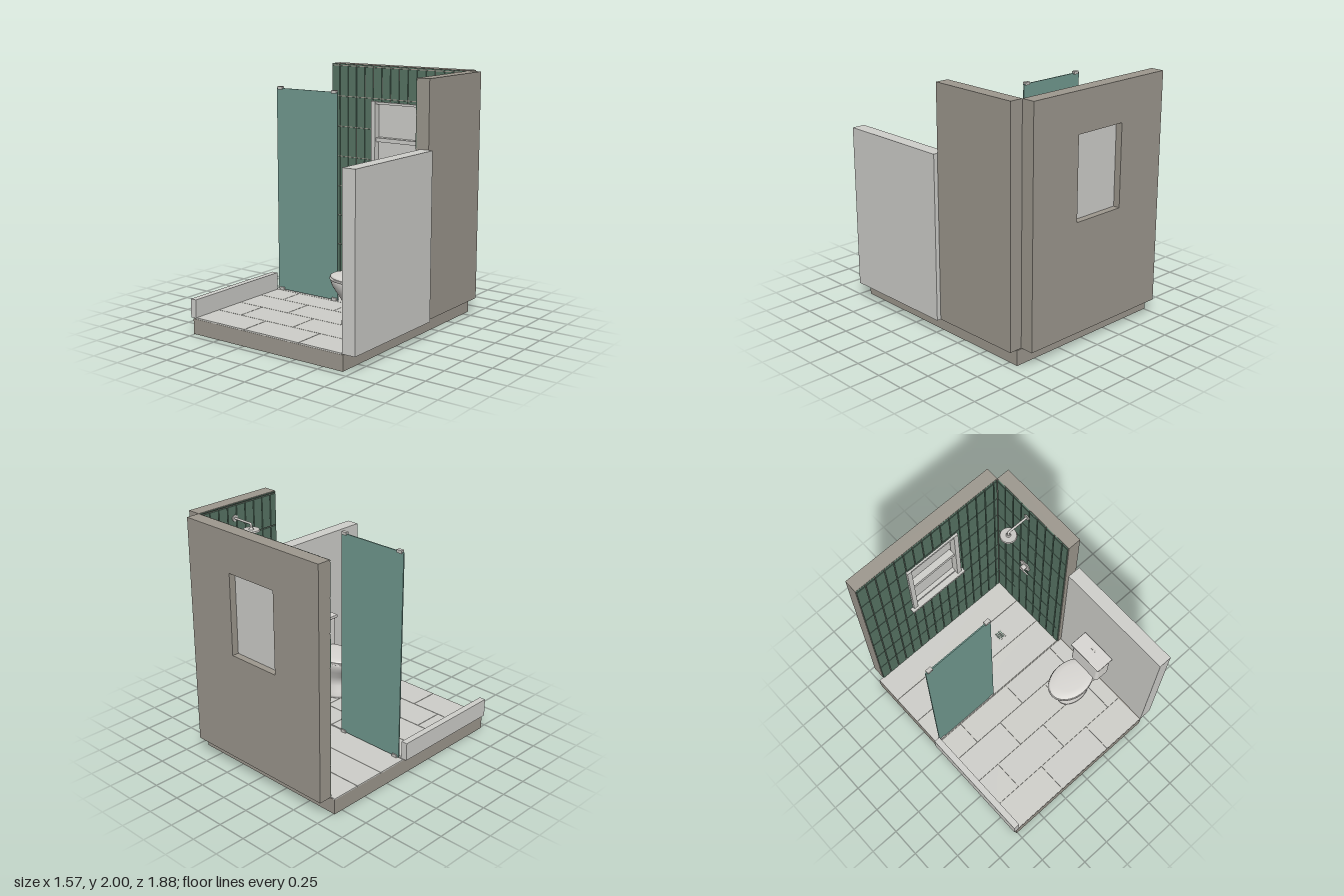
import * as THREE from 'three';
import { mergeGeometries } from 'three/addons/utils/BufferGeometryUtils.js';
import { RoundedBoxGeometry } from 'three/addons/geometries/RoundedBoxGeometry.js';

const mat = (name, color, side = THREE.FrontSide) => {
  const m = new THREE.MeshStandardMaterial({ color, side });
  m.name = name;
  return m;
};

// Box geometry from its min and max corners
function span(x0, x1, y0, y1, z0, z1) {
  return new THREE.BoxGeometry(x1 - x0, y1 - y0, z1 - z0)
    .translate((x0 + x1) / 2, (y0 + y1) / 2, (z0 + z1) / 2);
}

// Cut a running interval into pieces of a given length
function cuts(from, to, step, first = from + step) {
  const out = [];
  let a = from;
  for (let b = first; a < to - 1e-4; b += step) {
    out.push([a, Math.min(b, to)]);
    a = b;
  }
  return out;
}

// Remove a rectangular opening from a tile; returns the remaining pieces
function subtract([a0, a1, b0, b1], [h0, h1, k0, k1]) {
  if (a1 <= h0 || a0 >= h1 || b1 <= k0 || b0 >= k1) return [[a0, a1, b0, b1]];
  const lo = Math.max(a0, h0), hi = Math.min(a1, h1);
  return [[a0, lo, b0, b1], [hi, a1, b0, b1], [lo, hi, b0, k0], [lo, hi, k1, b1]]
    .filter(([p, q, r, s]) => q - p > 0.004 && s - r > 0.004);
}

// Smooth solid from stacked ovals: [y, xMin, xMax, halfWidth]
function loft(rings, cz, n = 40) {
  const pos = [], idx = [];
  const all = [rings[0].slice(), ...rings, rings[rings.length - 1].slice()];
  all.forEach(([y, x0, x1, w], k) => {
    const s = k === 0 || k === all.length - 1 ? 0.001 : 1;
    for (let i = 0; i < n; i++) {
      const t = (i / n) * Math.PI * 2;
      pos.push((x0 + x1) / 2 + Math.cos(t) * s * (x1 - x0) / 2, y, cz + Math.sin(t) * s * w);
    }
  });
  for (let k = 0; k < all.length - 1; k++) {
    for (let i = 0; i < n; i++) {
      const a = k * n + i, b = k * n + (i + 1) % n;
      idx.push(a, a + n, b, b, a + n, b + n);
    }
  }
  const g = new THREE.BufferGeometry();
  g.setAttribute('position', new THREE.Float32BufferAttribute(pos, 3));
  g.setIndex(idx);
  g.computeVertexNormals();
  return g;
}

export function createModel() {
  const root = new THREE.Group();
  root.name = 'bathroom';
  const concrete = mat('concrete', 0x9e998f);
  const plaster = mat('plaster', 0xd0d0cc);
  const floorTile = mat('floorTile', 0xcfcfca);
  const greenTile = mat('greenTile', 0x587565);
  const glass = mat('tealGlass', 0x729b91);
  const porcelain = mat('porcelain', 0xdad8d4);
  const metal = mat('metal', 0xcac8c4);

  const add = (name, geo, material, parent = root) => {
    const mesh = new THREE.Mesh(geo, material);
    mesh.name = name;
    parent.add(mesh);
    return mesh;
  };
  const group = (name) => {
    const g = new THREE.Group();
    g.name = name;
    root.add(g);
    return g;
  };

  // Base slab
  add('baseSlab', span(-0.76, 0.68, 0, 0.124, -0.83, 0.94), concrete);

  // Back wall with window opening
  const shape = new THREE.Shape();
  shape.moveTo(-0.72, 0.13).lineTo(0.64, 0.13).lineTo(0.64, 2).lineTo(-0.72, 2).closePath();
  const hole = new THREE.Path();
  hole.moveTo(-0.27, 1.02).lineTo(-0.27, 1.68).lineTo(0.19, 1.68).lineTo(0.19, 1.02).closePath();
  shape.holes.push(hole);
  add('backWall', new THREE.ExtrudeGeometry(shape, { depth: 0.11, bevelEnabled: false })
    .translate(0, 0, -0.94), concrete);

  // Side walls
  add('showerSideWall', span(0.64, 0.75, 0.13, 2, -0.83, -0.055), concrete);
  add('halfWall', span(0.675, 0.785, 0.13, 1.465, -0.055, 0.94), plaster);
  add('lowWall', span(-0.785, -0.732, 0.13, 0.28, -0.055, 0.94), plaster);

  // Wall tiles
  const gap = 0.004;
  const rows = cuts(0.13, 2, 0.265);
  const backTiles = [], sideTiles = [];
  for (const [y0, y1] of rows) {
    for (const [x0, x1] of cuts(-0.72, 0.632, 0.0877)) {
      for (const [a, b, c, d] of subtract([x0 + gap, x1 - gap, y0 + gap, y1 - gap], [-0.27, 0.19, 1.02, 1.68])) {
        backTiles.push(span(a, b, c, d, -0.831, -0.82));
      }
    }
    for (const [z0, z1] of cuts(-0.82, -0.057, 0.0877)) {
      if (z1 - z0 > 0.012) {
        sideTiles.push(span(0.63, 0.641, y0 + gap, y1 - gap, z0 + gap, z1 - gap));
      }
    }
  }
  add('backWallTiles', mergeGeometries(backTiles), greenTile);
  add('sideWallTiles', mergeGeometries(sideTiles), greenTile);

  // Floor tiles: long shower planks, then staggered rows
  const floor = [];
  const g = 0.002;
  for (const [z0, z1] of cuts(-0.83, -0.058, 0.26, -0.585)) {
    floor.push(span(-0.76, 0.632, 0.12, 0.133, z0 + g, z1 - g));
  }
  cuts(-0.058, 0.94, 0.26, 0.16).forEach(([z0, z1], i) => {
    for (const [x0, x1] of cuts(-0.74, 0.668, 0.52, i % 2 ? -0.24 : -0.5)) {
      floor.push(span(x0 + g, x1 - g, 0.12, 0.135, z0 + g, z1 - g));
    }
  });
  add('floorTiles', mergeGeometries(floor), floorTile);

  // Window: casing, sill, sashes and panes
  const win = group('window');
  for (const x of [-0.29, 0.17]) add('windowJamb', span(x, x + 0.04, 1.04, 1.7, -0.86, -0.8), plaster, win);
  add('windowHead', span(-0.25, 0.17, 1.675, 1.695, -0.86, -0.805), plaster, win);
  add('windowSill', span(-0.315, 0.232, 1.02, 1.042, -0.86, -0.78), plaster, win);
  add('meetingRail', span(-0.25, 0.17, 1.35, 1.385, -0.875, -0.82), plaster, win);
  add('bottomRail', span(-0.25, 0.17, 1.042, 1.06, -0.875, -0.83), plaster, win);
  add('upperPane', span(-0.27, 0.19, 1.36, 1.68, -0.885, -0.875), plaster, win);
  add('lowerPane', span(-0.27, 0.19, 1.02, 1.36, -0.885, -0.865), plaster, win);

  // Glass screen with corner clips
  add('glassScreen', span(-0.725, -0.11, 0.142, 1.845, -0.08, -0.07), glass);
  const clips = [];
  for (const x of [-0.688, -0.14]) {
    for (const y of [0.148, 1.847]) {
      clips.push(span(x - 0.023, x + 0.023, y - 0.012, y + 0.012, -0.09, -0.06));
    }
  }
  add('screenClips', mergeGeometries(clips), metal);

  // Floor drain with square holes
  const plate = new THREE.Shape();
  plate.moveTo(0, 0).lineTo(0.08, 0).lineTo(0.08, 0.08).lineTo(0, 0.08).closePath();
  for (let i = 0; i < 4; i++) {
    for (let j = 0; j < 4; j++) {
      const x = 0.01 + i * 0.0163, y = 0.01 + j * 0.0163, s = 0.011;
      const p = new THREE.Path();
      p.moveTo(x, y).lineTo(x, y + s).lineTo(x + s, y + s).lineTo(x + s, y).closePath();
      plate.holes.push(p);
    }
  }
  add('drainWell', span(0.262, 0.333, 0.132, 0.134, -0.476, -0.406), greenTile);
  add('drainGrate', new THREE.ExtrudeGeometry(plate, { depth: 0.004, bevelEnabled: false })
    .rotateX(-Math.PI / 2).translate(0.257, 0.133, -0.4), metal);

  // Shower head and arm
  const shower = group('shower');
  const arm = new THREE.CurvePath();
  const V = (x, y) => new THREE.Vector3(x, y, -0.49);
  arm.add(new THREE.LineCurve3(V(0.63, 1.883), V(0.46, 1.883)));
  arm.add(new THREE.QuadraticBezierCurve3(V(0.46, 1.883), V(0.443, 1.883), V(0.443, 1.868)));
  arm.add(new THREE.LineCurve3(V(0.443, 1.868), V(0.443, 1.835)));
  add('showerArm', new THREE.TubeGeometry(arm, 40, 0.009, 12), metal, shower);
  add('showerHead', new THREE.CylinderGeometry(0.062, 0.067, 0.012, 40).translate(0.443, 1.833, -0.49), metal, shower);
  add('headCollar', new THREE.CylinderGeometry(0.014, 0.02, 0.014, 20).translate(0.443, 1.845, -0.49), metal, shower);
  const knob = (name, r, x0, x1, y) => add(name,
    new THREE.CylinderGeometry(r, r, x1 - x0, 28).rotateZ(Math.PI / 2).translate((x0 + x1) / 2, y, -0.49), metal, shower);
  knob('armFlange', 0.026, 0.622, 0.632, 1.883);

  // Mixer valve
  knob('valvePlate', 0.055, 0.622, 0.632, 1.03);
  knob('valveBody', 0.022, 0.585, 0.624, 1.03);
  const lever = add('valveLever', new THREE.CylinderGeometry(0.006, 0.009, 0.09, 14), metal, shower);
  lever.position.set(0.588, 1.025, -0.46);
  lever.rotation.x = Math.PI / 2;

  // Toilet
  const toilet = group('toilet');
  const cz = 0.36;
  add('bowl', loft([
    [0.135, 0.262, 0.58, 0.105], [0.16, 0.262, 0.578, 0.105], [0.2, 0.27, 0.56, 0.098],
    [0.25, 0.282, 0.547, 0.092], [0.29, 0.284, 0.545, 0.093], [0.34, 0.26, 0.56, 0.108],
    [0.4, 0.212, 0.577, 0.132], [0.44, 0.182, 0.585, 0.145], [0.475, 0.166, 0.59, 0.15],
    [0.488, 0.17, 0.588, 0.148], [0.488, 0.175, 0.585, 0.145],
  ], cz), porcelain, toilet);
  add('seat', loft([
    [0.488, 0.168, 0.588, 0.15], [0.491, 0.16, 0.592, 0.156], [0.501, 0.16, 0.592, 0.156], [0.504, 0.168, 0.588, 0.15],
  ], cz), porcelain, toilet);
  add('seatLid', loft([
    [0.504, 0.175, 0.585, 0.146], [0.507, 0.167, 0.59, 0.151], [0.516, 0.167, 0.59, 0.151],
    [0.523, 0.18, 0.58, 0.142], [0.528, 0.25, 0.52, 0.1],
  ], cz), porcelain, toilet);
  const box = (name, w, h, d, r, x, y) => add(name, new RoundedBoxGeometry(w, h, d, 4, r).translate(x, y, cz), porcelain, toilet);
  box('tank', 0.148, 0.29, 0.3, 0.025, 0.592, 0.625);
  box('tankLid', 0.16, 0.026, 0.32, 0.006, 0.588, 0.775);
  for (const z of [-0.014, 0.014]) {
    add('flushButton', new THREE.CylinderGeometry(0.01, 0.01, 0.006, 20).translate(0.61, 0.789, cz + z), metal, toilet);
  }
  return root;
}
